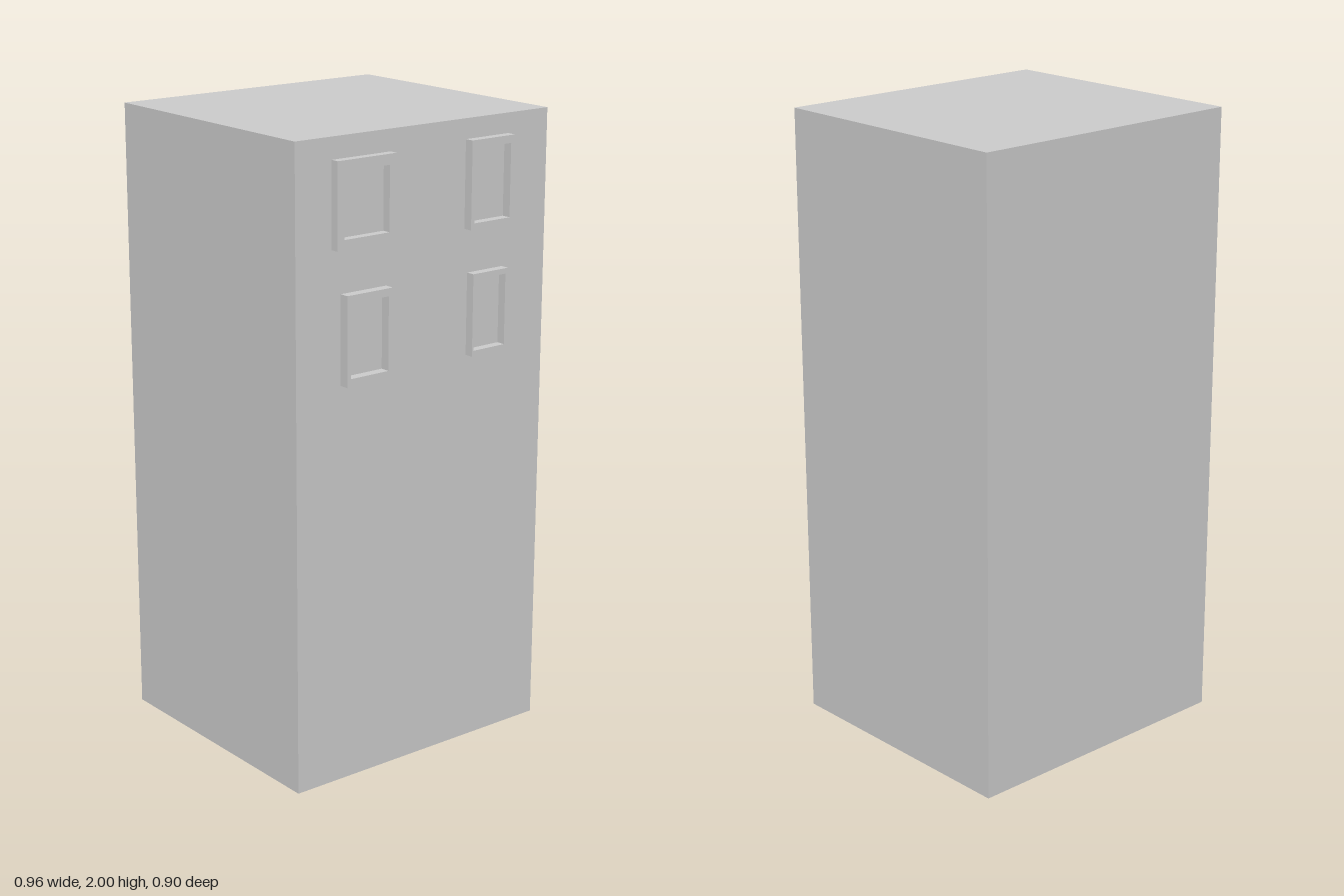
import * as THREE from 'three';

const WALL_Z = 0.417;
const BACK_Z = -0.448;

// Each window: outer rectangle, inner opening [left, right, bottom, top], front z
const WINDOWS = [
  { name: 'upperRightWindowFrame', outer: [-0.35, -0.135, 1.674, 1.934], inner: [-0.325, -0.16, 1.705, 1.902], front: 0.445 },
  { name: 'upperLeftWindowFrame', outer: [0.153, 0.322, 1.668, 1.938], inner: [0.167, 0.307, 1.688, 1.914], front: 0.447 },
  { name: 'lowerRightWindowFrame', outer: [-0.317, -0.148, 1.265, 1.54], inner: [-0.304, -0.163, 1.29, 1.516], front: 0.448 },
  { name: 'lowerLeftWindowFrame', outer: [0.167, 0.307, 1.275, 1.532], inner: [0.173, 0.297, 1.293, 1.515], front: 0.446 },
];

function rectangle(PathType, [left, right, bottom, top]) {
  return new PathType([
    new THREE.Vector2(left, bottom),
    new THREE.Vector2(right, bottom),
    new THREE.Vector2(right, top),
    new THREE.Vector2(left, top),
  ]);
}

export function createModel() {
  const group = new THREE.Group();
  const material = new THREE.MeshStandardMaterial({ color: 0xcccccc, flatShading: true });

  // Tower block
  const body = new THREE.Mesh(new THREE.BoxGeometry(0.96, 2, WALL_Z - BACK_Z), material);
  body.name = 'buildingBody';
  body.position.set(0, 1, (WALL_Z + BACK_Z) / 2);
  group.add(body);

  // Raised window frames, open through to the front wall
  for (const { name, outer, inner, front } of WINDOWS) {
    const shape = rectangle(THREE.Shape, outer);
    shape.holes.push(rectangle(THREE.Path, inner));
    const geometry = new THREE.ExtrudeGeometry(shape, { depth: front - WALL_Z, bevelEnabled: false });
    const frame = new THREE.Mesh(geometry, material);
    frame.name = name;
    frame.position.z = WALL_Z;
    group.add(frame);
  }

  return group;
}
